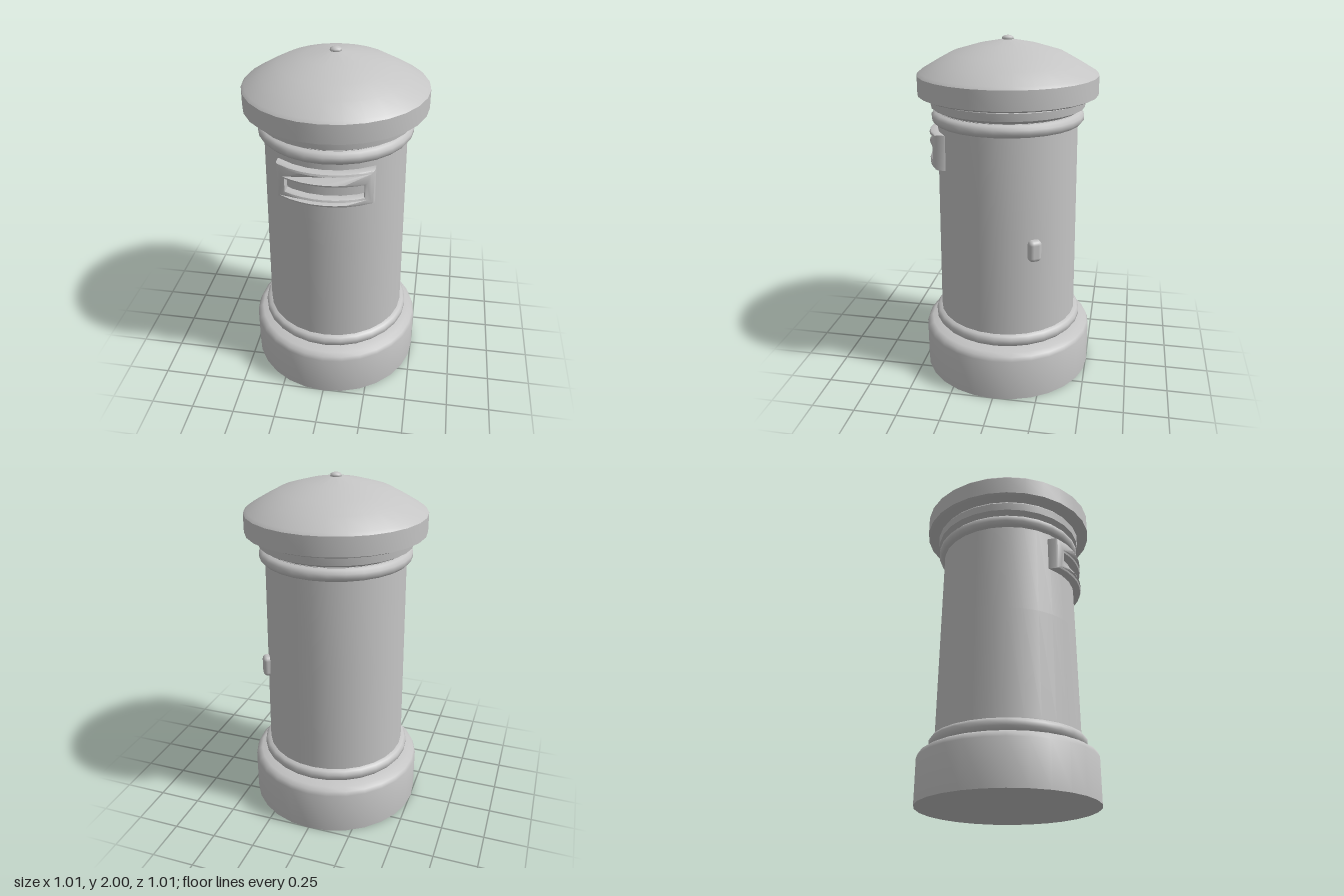
import * as THREE from 'three';
import { toCreasedNormals } from 'three/addons/utils/BufferGeometryUtils.js';
import { RoundedBoxGeometry } from 'three/addons/geometries/RoundedBoxGeometry.js';

const SIDES = 28;

export function createModel() {
  const model = new THREE.Group();
  model.name = 'pillarBox';
  const grey = new THREE.MeshStandardMaterial({ color: 0xc4c4c4 });
  grey.name = 'plain grey';

  const add = (name, geometry) => {
    const mesh = new THREE.Mesh(geometry, grey);
    mesh.name = name;
    model.add(mesh);
    return mesh;
  };

  // Turned part from [radius, height] pairs, listed from bottom to top
  const turned = (name, profile, crease = 0.7) => {
    const points = profile.map(([r, y]) => new THREE.Vector2(r, y));
    const lathe = new THREE.LatheGeometry(points, SIDES);
    return add(name, toCreasedNormals(lathe, crease));
  };

  turned('base', [[0, 0], [0.505, 0], [0.505, 0.25], [0.495, 0.275], [0.47, 0.29], [0.4, 0.3]]);
  turned('lowerRing', [[0.405, 0.295], [0.428, 0.308], [0.442, 0.325], [0.442, 0.35],
    [0.43, 0.368], [0.405, 0.375]], 1);
  turned('body', [[0.41, 0.29], [0.41, 0.38], [0.403, 1.0], [0.396, 1.6]]);
  turned('upperRing', [[0.39, 1.525], [0.415, 1.532], [0.43, 1.55], [0.43, 1.575],
    [0.415, 1.592], [0.39, 1.6]], 1);
  turned('neck', [[0.38, 1.595], [0.415, 1.612], [0.433, 1.622], [0.438, 1.665], [0.42, 1.69]]);
  turned('cap', [[0.4, 1.675], [0.475, 1.677], [0.505, 1.69], [0.505, 1.795], [0.49, 1.81],
    [0.4, 1.863], [0.31, 1.912], [0.17, 1.953], [0.03, 1.98], [0, 1.982]]);

  // Small button on the peak of the cap
  const button = [[0.022, 1.97], [0.033, 1.982], [0.03, 1.993], [0.015, 2], [0, 2]];
  add('capButton', new THREE.LatheGeometry(button.map(([r, y]) => new THREE.Vector2(r, y)), 8));

  // Mail slot: a frame with a hole, bent around the body
  const rectangle = (PathType, w, y0, y1) => {
    const steps = 8;
    const points = [];
    for (let i = 0; i <= steps; i++) points.push(new THREE.Vector2(-w + (2 * w * i) / steps, y0));
    for (let i = 0; i <= steps; i++) points.push(new THREE.Vector2(w - (2 * w * i) / steps, y1));
    return new PathType(points);
  };
  const bevel = 0.015;
  const outline = rectangle(THREE.Shape, 0.26 - bevel, 1.29 + bevel, 1.49 - bevel);
  outline.holes.push(rectangle(THREE.Path, 0.208 + bevel, 1.34 - bevel, 1.41 + bevel));
  const frame = new THREE.ExtrudeGeometry(outline, {
    depth: 0.04, bevelEnabled: true, bevelSize: bevel, bevelThickness: bevel, bevelSegments: 2,
  });
  const pos = frame.attributes.position;
  for (let i = 0; i < pos.count; i++) {
    const x = pos.getX(i);
    pos.setZ(i, pos.getZ(i) - 0.055 + Math.sqrt(0.445 ** 2 - x * x));
  }
  add('slotFrame', toCreasedNormals(frame, 0.7));

  // Door handle on the left side, towards the back
  const angle = Math.atan2(0.35, -0.21);
  const handle = add('doorHandle', new RoundedBoxGeometry(0.075, 0.125, 0.06, 3, 0.025));
  handle.position.set(Math.sin(angle) * 0.41, 0.89, Math.cos(angle) * 0.41);
  handle.rotation.y = angle;

  return model;
}
